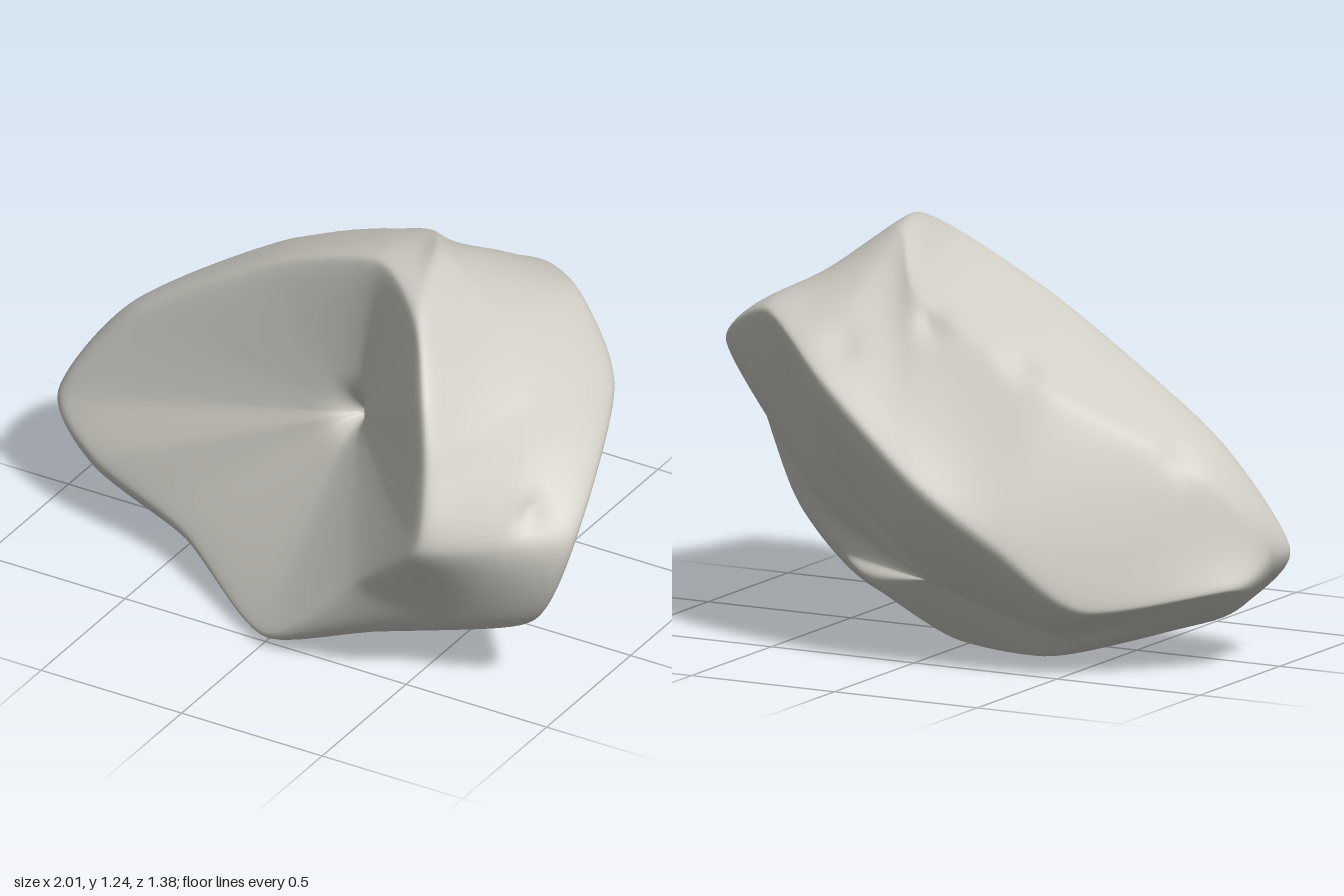
import * as THREE from 'three';

const V = (p) => new THREE.Vector3(...p);

// Closed outlines from front to back, each starting at the left tip of the front
// face and running over the top, down the right side and back along the bottom.
const frontRim = [
  [-0.97, 0.39, 0.08], [-0.75, 0.71, 0.03], [-0.25, 1.05, 0.04], [0.16, 1.22, 0.12],
  [0.42, 1.20, 0.34], [0.55, 1.05, 0.51], [0.62, 0.84, 0.61], [0.62, 0.62, 0.68],
  [0.34, 0.36, 0.56], [-0.01, 0.06, 0.52], [-0.45, 0.16, 0.26], [-0.80, 0.26, 0.18],
];
const middleBand = [
  [-1.00, 0.35, -0.04], [-0.84, 0.62, -0.20], [-0.42, 0.87, -0.38], [0.08, 1.10, -0.30],
  [0.32, 1.24, -0.01], [0.59, 1.08, 0.06], [0.77, 0.93, 0.22], [0.83, 0.60, 0.50],
  [0.62, 0.27, 0.45], [0.20, 0.07, 0.40], [-0.32, 0.04, 0.17], [-0.80, 0.14, 0.06],
];
const backEdge = [
  [-0.96, 0.27, -0.19], [-0.61, 0.23, -0.50], [-0.37, 0.43, -0.63], [-0.10, 0.63, -0.69],
  [0.27, 0.90, -0.60], [0.59, 1.02, -0.35], [0.86, 0.87, -0.12], [0.99, 0.60, 0.32],
  [0.85, 0.27, 0.33], [0.47, 0.08, 0.15], [-0.12, 0.01, 0.04], [-0.74, 0.12, -0.09],
];
const underside = [
  [-0.52, 0.09, -0.33], [-0.37, 0.15, -0.41], [-0.20, 0.30, -0.53], [0.01, 0.43, -0.56],
  [0.23, 0.56, -0.48], [0.41, 0.60, -0.34], [0.52, 0.51, -0.22], [0.52, 0.36, -0.10],
  [0.44, 0.25, -0.14], [0.26, 0.19, -0.28], [0.00, 0.04, -0.24], [-0.32, 0.02, -0.27],
];
const frontCentre = V([0.10, 0.68, 0.15]);
const backCentre = V([0.00, 0.25, -0.41]);
const core = V([0.10, 0.55, -0.15]);

// Small pits: position, radius, depth
const pits = [
  [[0.10, 0.68, 0.15], 0.06, 0.08],
  [[-0.31, 0.93, -0.35], 0.045, 0.03],
  [[0.01, 1.04, -0.35], 0.045, 0.03],
  [[-0.77, 0.66, -0.20], 0.05, 0.025],
  [[0.25, 1.00, -0.50], 0.06, 0.03],
  [[0.88, 0.68, 0.40], 0.045, 0.025],
].map(([p, radius, depth]) => ({ p: V(p), radius, depth }));

function dent(point) {
  const inward = core.clone().sub(point).normalize();
  let amount = 0;
  for (const { p, radius, depth } of pits) {
    amount += depth * Math.exp(-point.distanceToSquared(p) / (radius * radius));
  }
  return point.addScaledVector(inward, amount);
}

// Skin the outlines: smooth around each one, tighter bends from one to the next
function rockGeometry(around, along) {
  const loops = [frontRim, middleBand, backEdge, underside].map(
    (ring) => new THREE.CatmullRomCurve3(ring.map(V), true, 'catmullrom', 0.4)
  );
  const positions = [];
  const push = (p) => positions.push(...dent(p.clone()).toArray());
  const strips = [];
  for (let j = 0; j < around; j++) {
    const path = [frontCentre, ...loops.map((c) => c.getPoint(j / around)), backCentre];
    strips.push(new THREE.CatmullRomCurve3(path, false, 'catmullrom', 0.25));
  }
  push(frontCentre);
  for (let i = 1; i < along; i++) {
    for (const strip of strips) push(strip.getPoint(i / along));
  }
  push(backCentre);

  const index = [];
  const last = 1 + (along - 1) * around;
  const id = (i, j) => 1 + (i - 1) * around + (j % around);
  for (let j = 0; j < around; j++) {
    index.push(0, id(1, j + 1), id(1, j));
    for (let i = 1; i < along - 1; i++) {
      const a = id(i, j), b = id(i, j + 1), c = id(i + 1, j), d = id(i + 1, j + 1);
      index.push(a, b, c, b, d, c);
    }
    index.push(id(along - 1, j), id(along - 1, j + 1), last);
  }

  const geometry = new THREE.BufferGeometry();
  geometry.setAttribute('position', new THREE.Float32BufferAttribute(positions, 3));
  geometry.setIndex(index);

  // Centre it and stand it on the ground
  geometry.computeBoundingBox();
  const mid = geometry.boundingBox.getCenter(new THREE.Vector3());
  geometry.translate(-mid.x, -geometry.boundingBox.min.y, -mid.z);
  geometry.computeVertexNormals();
  return geometry;
}

export function createModel() {
  const group = new THREE.Group();
  group.name = 'rock';
  const stone = new THREE.MeshStandardMaterial({ color: 0xd0cdc5 });
  stone.name = 'pale grey stone';
  const boulder = new THREE.Mesh(rockGeometry(160, 100), stone);
  boulder.name = 'boulder';
  group.add(boulder);
  return group;
}
